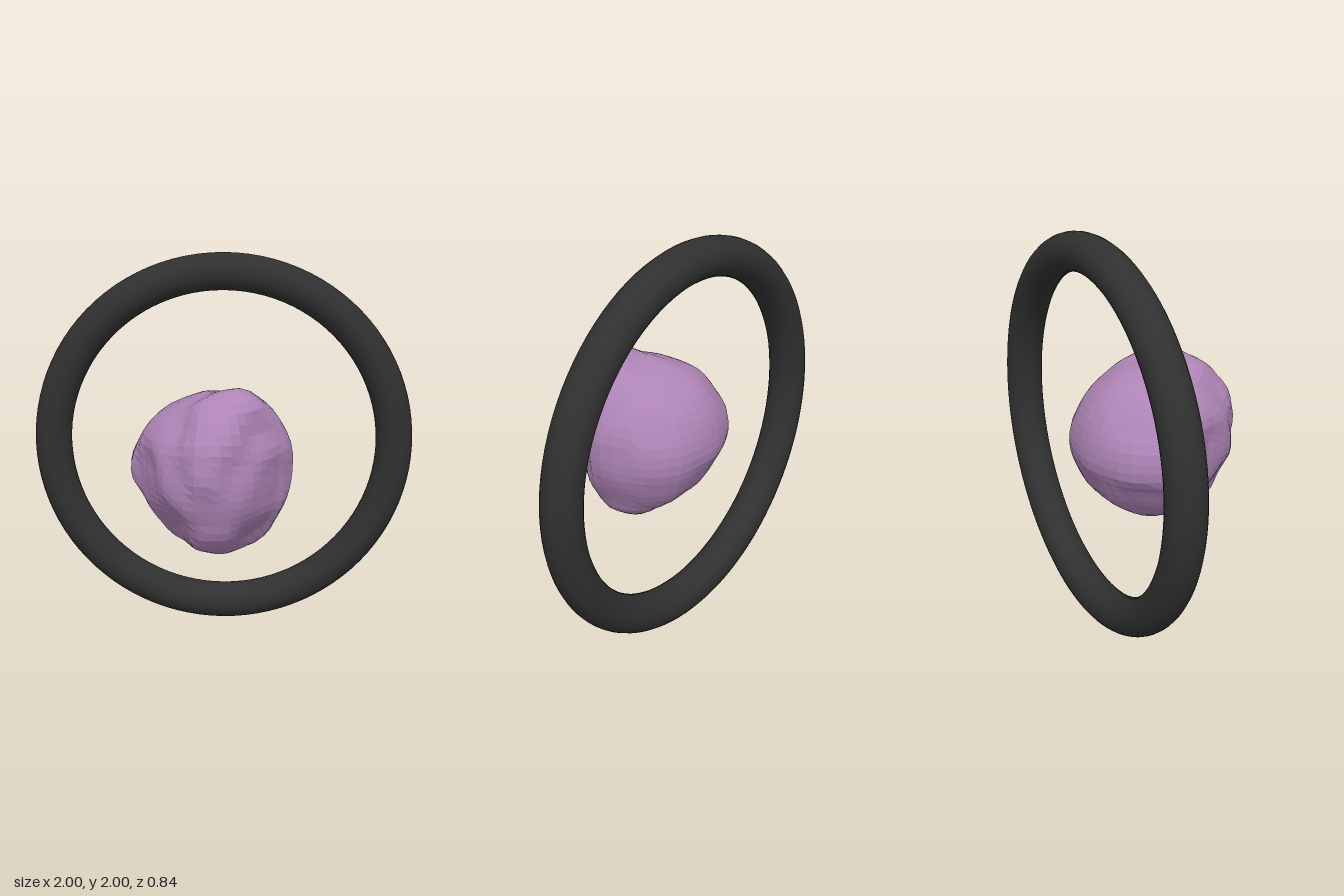
import * as THREE from 'three';

const ringMaterial = new THREE.MeshStandardMaterial({ color: 0x303030 });
ringMaterial.name = 'charcoal';
const stoneMaterial = new THREE.MeshStandardMaterial({ color: 0xad84b5, flatShading: true });
stoneMaterial.name = 'mauve';

const stoneCentre = new THREE.Vector3(-0.06, 0.94, 0);

// Points the stone's surface passes through
const surfacePoints = [
  // around the middle
  [-0.09, 1.04, 0.415], [-0.21, 1.0, 0.33], [-0.36, 0.95, 0.14], [-0.46, 0.95, -0.1],
  [-0.37, 0.98, -0.3], [-0.11, 0.98, -0.42], [0.24, 0.95, -0.33], [0.335, 0.93, -0.15],
  [0.24, 0.93, 0.18], [0.085, 1.0, 0.34],
  // peak, front ridge and upper flanks
  [0.16, 1.365, 0.11], [0, 1.3, 0.28], [-0.06, 1.18, 0.38], [-0.2, 1.295, 0],
  [-0.39, 1.15, -0.05], [0, 1.335, -0.07], [0.04, 1.28, -0.22], [0.32, 1.13, -0.1],
  [0.21, 1.295, 0.02], [0.19, 1.15, 0.2], [-0.24, 1.18, 0.23], [-0.1, 1.18, -0.35],
  [-0.28, 1.18, -0.25], [0.2, 1.15, -0.27],
  // underside
  [0, 0.515, 0.03], [-0.05, 0.62, 0.27], [-0.08, 0.86, 0.38], [0.2, 0.58, -0.08],
  [-0.18, 0.59, 0.05], [-0.36, 0.75, 0], [-0.25, 0.75, 0.2], [0.17, 0.72, 0.18],
  [0.29, 0.73, -0.08], [-0.05, 0.6, -0.18], [-0.1, 0.76, -0.35], [0.2, 0.73, -0.27],
  [-0.3, 0.74, -0.2],
];

// A sphere whose radius blends between the surface points
function stoneGeometry() {
  const anchors = surfacePoints.map((p) => {
    const direction = new THREE.Vector3(...p).sub(stoneCentre);
    const radius = direction.length();
    return { direction: direction.divideScalar(radius), radius };
  });
  const geometry = new THREE.SphereGeometry(1, 40, 28);
  const position = geometry.attributes.position;
  const v = new THREE.Vector3();
  for (let i = 0; i < position.count; i++) {
    v.fromBufferAttribute(position, i).normalize();
    let sum = 0, total = 0;
    for (const { direction, radius } of anchors) {
      const weight = 1 / Math.pow(1.04 - v.dot(direction), 3);
      sum += weight * radius;
      total += weight;
    }
    v.multiplyScalar(sum / total);
    position.setXYZ(i, v.x, v.y, v.z);
  }
  geometry.computeVertexNormals();
  return geometry;
}

export function createModel() {
  const model = new THREE.Group();
  model.name = 'ringAndStone';

  // Upright ring behind the stone
  const ring = new THREE.Mesh(new THREE.TorusGeometry(0.904, 0.096, 24, 96), ringMaterial);
  ring.name = 'ring';
  ring.position.set(0, 1, -0.32);
  model.add(ring);

  // Irregular stone floating in the middle
  const stone = new THREE.Mesh(stoneGeometry(), stoneMaterial);
  stone.name = 'stone';
  stone.position.copy(stoneCentre);
  model.add(stone);

  return model;
}
